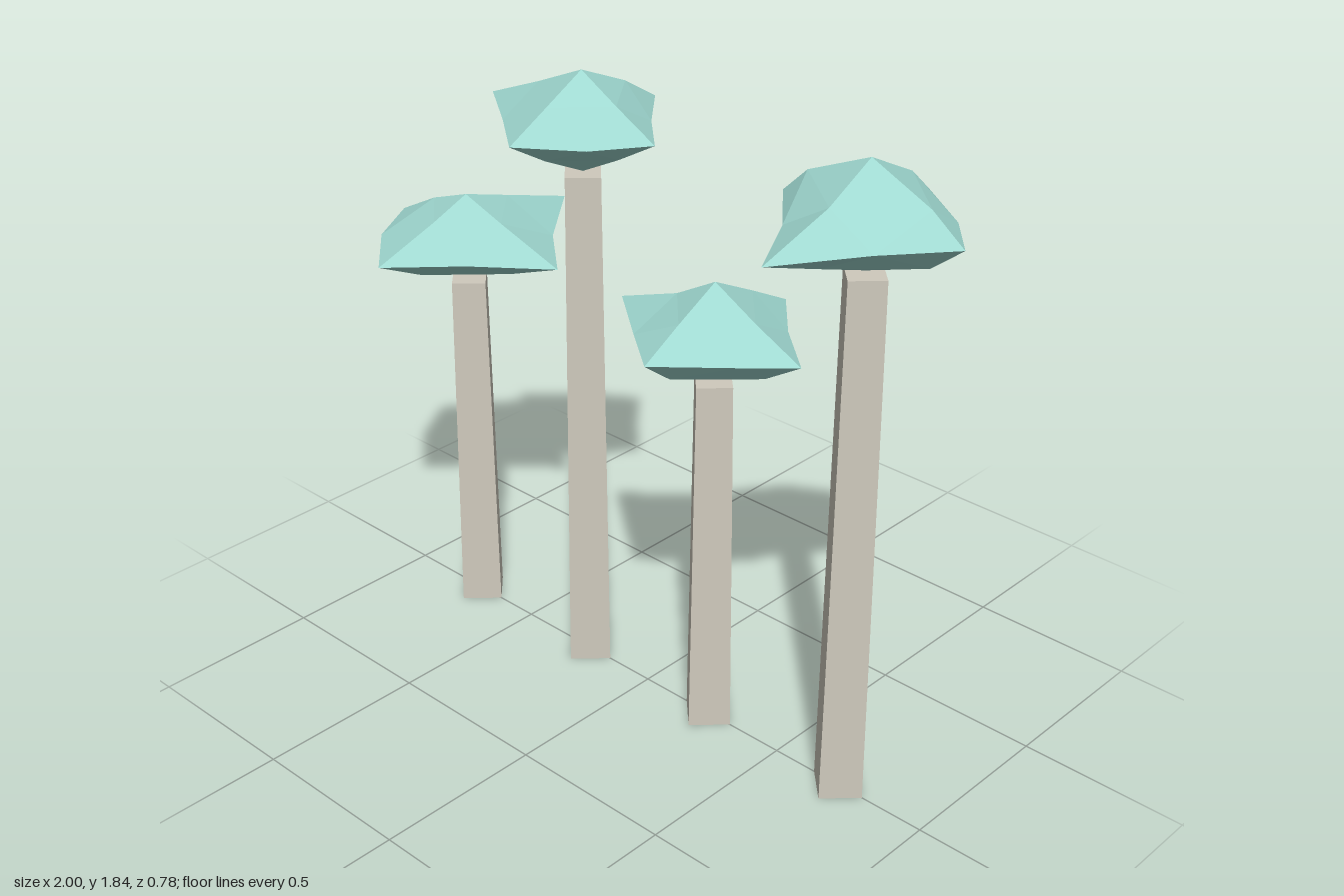
import * as THREE from 'three';

const CAP_RISE = 0.073; // height of the mid-slope corners above and below the rim

// Each cap: rim tips (r, l, f, b = +x, -x, +z, -z), peak and base heights,
// rim corners [x, z] and reach of the mid-slope corners above (u) and below (d).
const PILLARS = [
  { x: -0.72, post: 1.085, y: 1.222, r: 0.373, l: 0.28, f: 0.335, b: 0.395, peak: 0.123, base: 0.115,
    fr: [0.17, 0.16], fl: [0.176, 0.176], br: [0.19, 0.16], bl: [0.15, 0.185],
    ur: 0.145, ul: 0.14, uf: 0.125, ub: 0.16, dr: 0.18, dl: 0.18, df: 0.18, db: 0.17 },
  { x: -0.24, post: 1.545, y: 1.686, r: 0.265, l: 0.348, f: 0.265, b: 0.283, peak: 0.144, base: 0.14,
    fr: [0.165, 0.15], fl: [0.165, 0.134], br: [0.13, 0.13], bl: [0.16, 0.187],
    ur: 0.127, ul: 0.165, uf: 0.13, ub: 0.165, dr: 0.135, dl: 0.145, df: 0.14, db: 0.16 },
  { x: 0.24, post: 1.085, y: 1.222, r: 0.295, l: 0.337, f: 0.267, b: 0.29, peak: 0.148, base: 0.118,
    fr: [0.172, 0.115], fl: [0.15, 0.15], br: [0.134, 0.14], bl: [0.155, 0.155],
    ur: 0.14, ul: 0.134, uf: 0.14, ub: 0.15, dr: 0.176, dl: 0.19, df: 0.17, db: 0.17 },
  { x: 0.72, post: 1.545, y: 1.686, r: 0.28, l: 0.265, f: 0.39, b: 0.245, peak: 0.155, base: 0.135,
    fr: [0.145, 0.165], fl: [0.123, 0.17], br: [0.17, 0.125], bl: [0.15, 0.16],
    ur: 0.182, ul: 0.19, uf: 0.153, ub: 0.166, dr: 0.187, dl: 0.13, df: 0.18, db: 0.16 },
];

// Irregular faceted cap: eight octants, each split into four triangles
function capGeometry(c) {
  const pos = [];
  for (const sx of [1, -1]) for (const sy of [1, -1]) for (const sz of [1, -1]) {
    const kx = sx > 0 ? 'r' : 'l', kz = sz > 0 ? 'f' : 'b', ky = sy > 0 ? 'u' : 'd';
    const rim = c[kz + kx];
    const X = [sx * c[kx], 0, 0];
    const Y = [0, sy > 0 ? c.peak : -c.base, 0];
    const Z = [0, 0, sz * c[kz]];
    const XY = [sx * c[ky + kx], sy * CAP_RISE, 0];
    const YZ = [0, sy * CAP_RISE, sz * c[ky + kz]];
    const XZ = [sx * rim[0], 0, sz * rim[1]];
    for (const [p, q, s] of [[X, XY, XZ], [XY, Y, YZ], [XZ, YZ, Z], [XY, YZ, XZ]]) {
      // mirrored octants need the opposite winding
      if (sx * sy * sz > 0) pos.push(...p, ...q, ...s);
      else pos.push(...p, ...s, ...q);
    }
  }
  const g = new THREE.BufferGeometry();
  g.setAttribute('position', new THREE.Float32BufferAttribute(pos, 3));
  g.computeVertexNormals();
  return g;
}

export function createModel() {
  const model = new THREE.Group();
  model.name = 'crystalPillars';
  const stone = new THREE.MeshStandardMaterial({ color: 0xcfcabd, flatShading: true });
  const crystal = new THREE.MeshStandardMaterial({ color: 0x9fd8d0, flatShading: true });

  for (const p of PILLARS) {
    const pillar = new THREE.Group();
    pillar.name = 'pillar';
    pillar.position.x = p.x;

    // Tapered four-sided post standing corner-on
    const post = new THREE.Mesh(new THREE.CylinderGeometry(0.069, 0.084, p.post, 4), stone);
    post.name = 'post';
    post.position.y = p.post / 2;

    // Faceted cap resting over the post
    const cap = new THREE.Mesh(capGeometry(p), crystal);
    cap.name = 'crystalCap';
    cap.position.y = p.y;

    pillar.add(post, cap);
    model.add(pillar);
  }
  return model;
}
